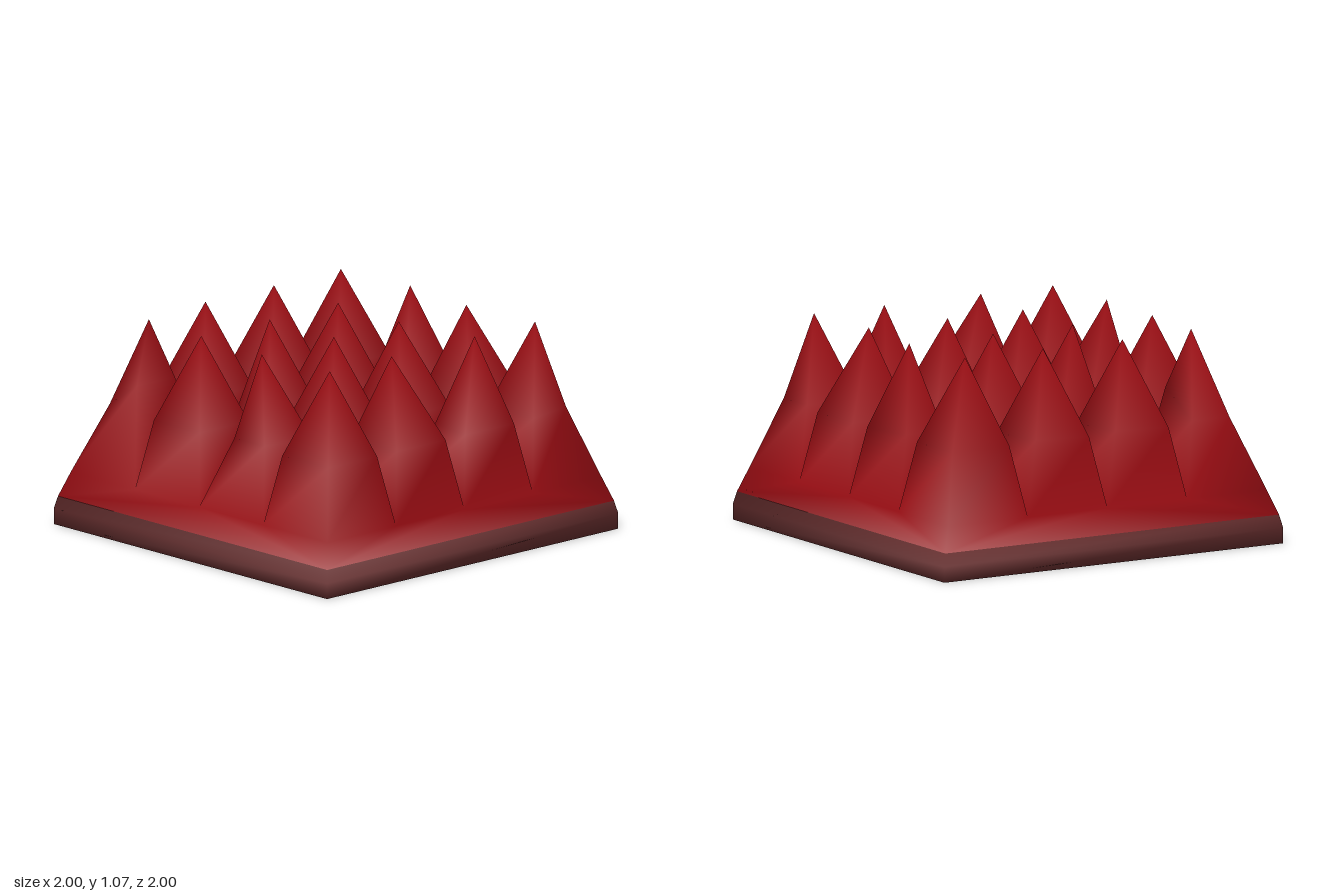
import * as THREE from 'three';

const RED = 0x990d13, BROWN = 0x6b3030;
const CELL = 0.47, VALLEY = 0.27, SHOULDER = 0.63, TIP = 1.07;
// corners of a square, counter-clockwise seen from above
const CORNERS = [[-1, 1], [1, 1], [1, -1], [-1, -1]];

// Collects shared vertices so the finished surface is smooth
function builder() {
  const points = [], faces = [];
  return {
    point: (x, y, z) => points.push(x, y, z) / 3 - 1,
    tri: (a, b, c) => faces.push(a, b, c),
    quad: (a, b, c, d) => faces.push(a, b, c, a, c, d),
    mesh(name, color) {
      const g = new THREE.BufferGeometry();
      g.setAttribute('position', new THREE.Float32BufferAttribute(points, 3));
      g.setIndex(faces);
      g.computeVertexNormals();
      const m = new THREE.Mesh(g, new THREE.MeshStandardMaterial({ color }));
      m.name = name;
      return m;
    },
  };
}

// Each spike: offset of its tip in x and z, and the corners cut in slimmer
const SPIKES = [
  [[0, 0.01, []], [0, -0.025, [0, 3]], [0, 0.03, []], [0, 0, [2, 3]]],
  [[0, 0, [3]], [0, 0, []], [0, 0.025, [3]], [0, -0.055, [0, 3]]],
  [[0, 0, [3]], [0, 0, [0]], [0, 0, []], [0, 0.045, []]],
  [[0.055, -0.03, [0, 3]], [0, 0, []], [0, 0.025, [0, 1]], [0, 0, []]],
];

function spikeField() {
  const b = builder();
  const grid = [];
  for (let r = 0; r < 5; r++) {
    grid.push([]);
    for (let c = 0; c < 5; c++) grid[r].push(b.point((c - 2) * CELL, VALLEY, (r - 2) * CELL));
  }

  // spikes: valley square, shoulder ring, tip
  SPIKES.forEach((row, r) => row.forEach(([dx, dz, slim], c) => {
    const x = (c - 1.5) * CELL, z = (r - 1.5) * CELL;
    const foot = [grid[r + 1][c], grid[r + 1][c + 1], grid[r][c + 1], grid[r][c]];
    const ring = CORNERS.map(([sx, sz], i) => {
      const thin = slim.includes(i);
      const half = thin ? 0.11 : 0.168;
      // the leaning spike carries its full corners higher
      const high = dx && !thin;
      return b.point(x + sx * (high ? 0.138 : half) + (thin ? dx * 0.5 : 0),
        high ? 0.77 : SHOULDER, z + sz * (high ? 0.13 : half));
    });
    const tip = b.point(x + dx, TIP, z + dz);
    for (let i = 0; i < 4; i++) {
      const j = (i + 1) % 4;
      b.quad(foot[i], foot[j], ring[j], ring[i]);
      b.tri(ring[i], ring[j], tip);
    }
  }));

  // sloping skirt from the outer valley line to the base
  const rim = CORNERS.map(([sx, sz]) => b.point(sx * 0.985, 0.145, sz * 0.985));
  const sides = [
    grid[4],
    grid.map((row) => row[4]).reverse(),
    [...grid[0]].reverse(),
    grid.map((row) => row[0]),
  ];
  sides.forEach((line, i) => {
    const a = rim[i], d = rim[(i + 1) % 4];
    b.tri(a, d, line[2]);
    for (let k = 0; k < 4; k++) b.tri(k < 2 ? a : d, line[k + 1], line[k]);
  });
  return b.mesh('spikes', RED);
}

function baseSlab() {
  const b = builder();
  const rings = [[1, 0], [1, 0.08], [0.985, 0.145]].map(([h, y]) =>
    CORNERS.map(([sx, sz]) => b.point(sx * h, y, sz * h)));
  for (let k = 0; k < 2; k++) {
    for (let i = 0; i < 4; i++) {
      const j = (i + 1) % 4;
      b.quad(rings[k][i], rings[k][j], rings[k + 1][j], rings[k + 1][i]);
    }
  }
  // underside
  b.quad(...[...rings[0]].reverse());
  return b.mesh('base', BROWN);
}

export function createModel() {
  const group = new THREE.Group();
  group.name = 'spikeTrap';
  group.add(baseSlab(), spikeField());
  return group;
}
